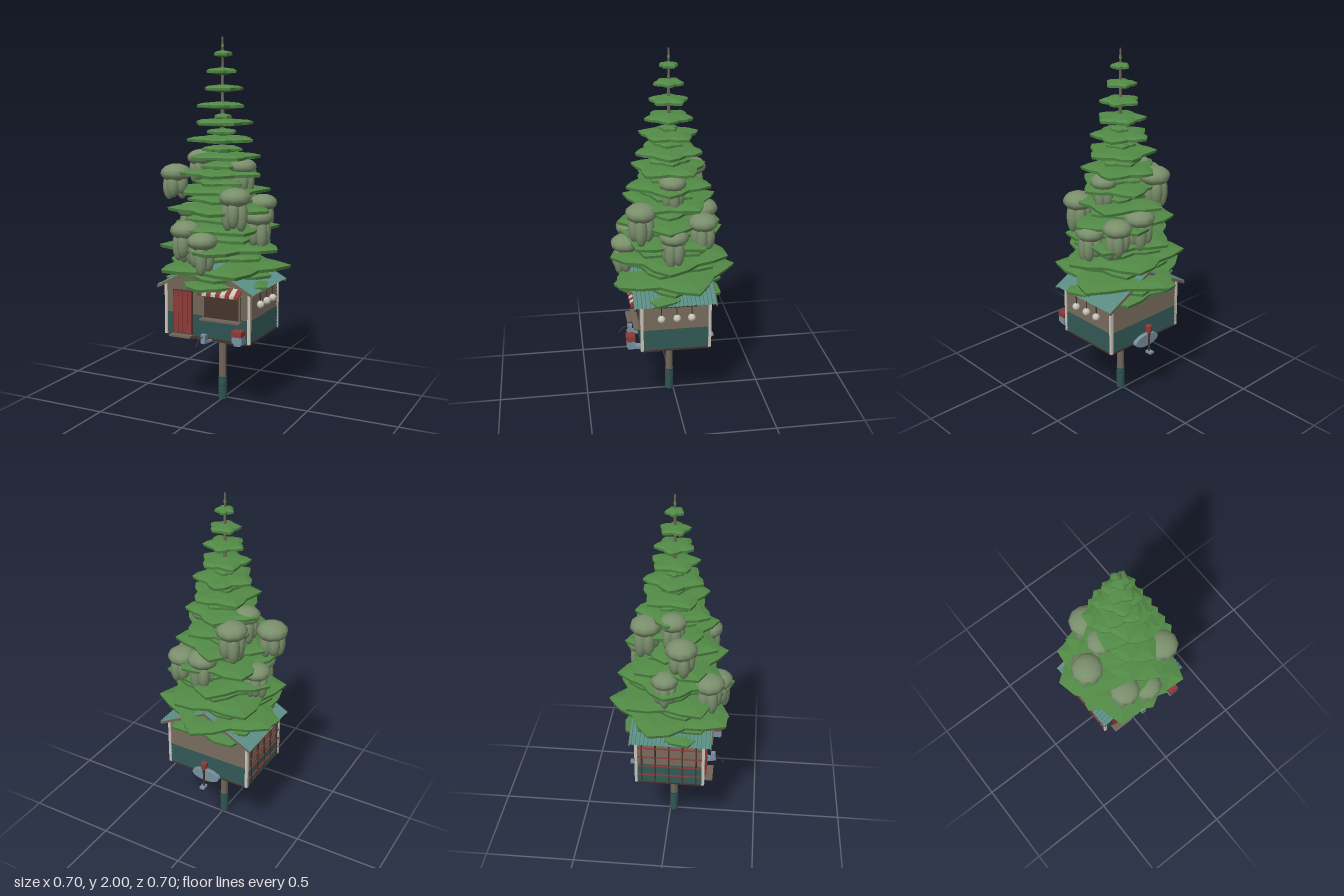
import * as THREE from 'three';

const mat = (name, color, side = THREE.FrontSide, flat = true) =>
  Object.assign(new THREE.MeshStandardMaterial({ color, side, flatShading: flat }), { name });

export function createModel() {
  const root = new THREE.Group();
  root.name = 'treehouse';
  const M = {
    leaf: mat('leaf green', 0x528a46),
    moss: mat('moss grey green', 0x7a8f6c, THREE.FrontSide, false),
    wood: mat('weathered wood', 0x706456),
    teal: mat('dark teal paint', 0x2f5351),
    roof: mat('roof teal', 0x5a8e84, THREE.DoubleSide),
    cream: mat('cream', 0xc8c4b8),
    red: mat('red paint', 0x8e3a36),
    dark: mat('dark brown', 0x46342c),
    metal: mat('blue grey metal', 0x7890a0),
  };
  const add = (name, geo, m, x = 0, y = 0, z = 0, parent = root) => {
    const mesh = new THREE.Mesh(geo, m);
    mesh.name = name;
    mesh.position.set(x, y, z);
    parent.add(mesh);
    return mesh;
  };
  // box given by its limits
  const box = (name, m, x0, x1, y0, y1, z0, z1, parent) =>
    add(name, new THREE.BoxGeometry(x1 - x0, y1 - y0, z1 - z0), m, (x0 + x1) / 2, (y0 + y1) / 2, (z0 + z1) / 2, parent);
  const group = (name) => {
    const g = new THREE.Group();
    g.name = name;
    root.add(g);
    return g;
  };
  let seed = 11;
  const rnd = () => (seed = (seed * 16807) % 2147483647) / 2147483647;
  const TZ = 0.022;

  // Trunk
  add('trunk', new THREE.CylinderGeometry(0.02, 0.022, 0.8, 12), M.wood, 0, 0.4, TZ);
  add('upperTrunk', new THREE.CylinderGeometry(0.005, 0.02, 1.2, 10), M.wood, 0, 1.39, TZ);
  add('trunkBase', new THREE.CylinderGeometry(0.023, 0.024, 0.13, 12), M.teal, 0, 0.065, TZ);
  for (const y of [0.08, 0.105, 0.128])
    add('trunkBand', new THREE.TorusGeometry(0.022, 0.003, 5, 12), M.teal, 0, y, TZ).rotation.x = Math.PI / 2;

  // Foliage: lens-shaped stars of five pointed leaves
  const star = (r, h) => {
    const n = 20, pts = [], idx = [], out = [];
    const prof = [1, 0.86, 0.74, 0.86];
    for (let i = 0; i < n; i++) out.push(prof[i % 4] * r * (0.97 + rnd() * 0.06));
    for (const [s, y] of [[0.8, 0.34], [1, 0.13], [0.98, -0.18]])
      for (let i = 0; i < n; i++) {
        const a = (i / n) * Math.PI * 2;
        pts.push(Math.sin(a) * out[i] * s, y * h, Math.cos(a) * out[i] * s);
      }
    pts.push(0, h * 0.55, 0, 0, -h * 0.5, 0);
    for (let i = 0; i < n; i++) {
      const j = (i + 1) % n;
      idx.push(3 * n, i, j, 3 * n + 1, 2 * n + j, 2 * n + i);
      for (let k = 0; k < 2; k++) {
        const a = k * n + i, b = k * n + j;
        idx.push(a, a + n, b, b, a + n, b + n);
      }
    }
    const g = new THREE.BufferGeometry();
    g.setAttribute('position', new THREE.Float32BufferAttribute(pts, 3));
    g.setIndex(idx);
    const flat = g.toNonIndexed();
    flat.computeVertexNormals();
    return flat;
  };
  const foliage = group('foliage');
  // [height, radius, turn]
  const main = [[0.685, 0.32, 0], [0.768, 0.367, Math.PI], [0.878, 0.34, 1.46], [0.98, 0.305, 2.09], [1.08, 0.29, 2.72], [1.18, 0.26, 3.35],
    [1.27, 0.235, 3.98], [1.36, 0.21, 4.61], [1.45, 0.19, 5.24], [1.54, 0.165, 5.87], [1.63, 0.135, 6.5], [1.72, 0.11, 7.13],
    [1.81, 0.085, 7.76], [1.9, 0.052, 8.39]];
  const inner = [[0.73, 0.29, 0.3], [0.83, 0.27, 0], [0.93, 0.25, 0.9], [1.03, 0.22, 1.8], [1.13, 0.19, 2.7], [1.22, 0.16, 3.6],
    [1.31, 0.135, 4.5], [1.4, 0.115, 5.4], [1.49, 0.085, 6.3], [1.57, 0.05, 7.2]];
  for (const [y, r, turn] of [...main, ...inner])
    add('leafTier', star(r, 0.036 + r * 0.06), M.leaf, 0, y, TZ, foliage).rotation.y = turn;
  add('treeTip', new THREE.ConeGeometry(0.008, 0.06, 6), M.leaf, 0, 1.97, TZ, foliage);

  // Hanging moss clumps (x, y, z, radius, droop): domed cap over long lobes
  const moss = group('mossClumps');
  const clumps = [[-0.255, 1.265, 0.08, 0.085, 1.75], [-0.12, 1.32, -0.115, 0.085, 2.1], [0.03, 1.13, -0.155, 0.085, 2.1],
    [0.17, 1.1, -0.135, 0.08, 2.1], [0.215, 1.045, 0.025, 0.08, 2.2], [0.155, 1.165, 0.19, 0.085, 2.1], [0, 0.935, 0.262, 0.082, 2.2],
    [-0.12, 0.98, 0.22, 0.085, 2.2], [-0.13, 1.35, 0.025, 0.075, 2.1], [-0.215, 1.05, -0.01, 0.075, 2.1], [0.12, 1.31, 0.02, 0.075, 2.1]];
  const capGeo = new THREE.SphereGeometry(1, 10, 8);
  for (const [x, y, z, r, droop] of clumps) {
    add('mossCap', capGeo, M.moss, x, y, z, moss).scale.set(r, r * 0.6, r);
    for (let k = 0; k < 5; k++) {
      const a = k * 1.257 + x * 9, d = r * 0.45;
      const end = r * droop * (0.88 + 0.12 * Math.sin(k * 2.1)), len = end / 2;
      add('mossLobe', capGeo, M.moss, x + Math.cos(a) * d, y - end + len, z + Math.sin(a) * d, moss).scale.set(r * 0.4, len, r * 0.4);
    }
  }

  // Cabin shell
  const L = -0.25, R = 0.245, F = 0.204, B = -0.167;
  const cabin = group('cabin');
  const gable = new THREE.Shape([[L, 0.4], [R, 0.4], [R, 0.685], [0, 0.81], [L, 0.685]].map((p) => new THREE.Vector2(...p)));
  add('walls', new THREE.ExtrudeGeometry(gable, { depth: F - B, bevelEnabled: false }), M.wood, 0, 0, B, cabin);
  box('lowerWalls', M.teal, L - 0.002, R + 0.002, 0.4, 0.52, B - 0.002, F + 0.002, cabin);
  box('floor', M.dark, L, R, 0.385, 0.4, B, F, cabin);

  // Lapped boards, wedge-shaped so only the lower lip stands out
  const wedge = new THREE.Shape([[0, 0], [0.004, 0], [0, 0.02]].map((p) => new THREE.Vector2(...p)));
  const board = (len) => new THREE.ExtrudeGeometry(wedge, { depth: len, bevelEnabled: false });
  for (let i = 0; i < 14; i++) {
    const y = 0.4 + i * 0.02, low = i < 6, m = low ? M.teal : M.wood, o = low ? 0.002 : 0;
    add('sideBoard', board(F - B), m, R + o, y, B, cabin);
    add('sideBoard', board(F - B), m, L - o, y, F, cabin).rotation.y = Math.PI;
    add('backBoard', board(R - L), m, L, y, B - o, cabin).rotation.y = Math.PI / 2;
  }
  for (const x of [L, R]) for (const z of [B, F])
    box('cornerTrim', M.cream, x - 0.008, x + 0.008, 0.395, 0.68, z - 0.008, z + 0.008, cabin);

  // Corrugated roof, ribs running down each slope
  const slopeA = Math.atan2(0.15, 0.285), slopeL = Math.hypot(0.15, 0.285);
  for (const s of [-1, 1]) {
    const g = new THREE.PlaneGeometry(slopeL, 0.445, 1, 80);
    g.rotateX(-Math.PI / 2);
    const p = g.attributes.position;
    for (let i = 0; i < p.count; i++) p.setY(i, [0, 0.006, 0.006, 0][(i >> 1) % 4]);
    g.computeVertexNormals();
    add('roofSheet', g, M.roof, s * 0.1425, 0.745, 0.0225, cabin).rotation.z = -s * slopeA;
    for (const z of [-0.198, 0.243])
      add('bargeBoard', new THREE.BoxGeometry(slopeL, 0.014, 0.008), M.wood, s * 0.1425, 0.737, z, cabin).rotation.z = -s * slopeA;
  }

  // Door with step
  box('doorFrame', M.dark, -0.206, -0.088, 0.405, 0.648, F, F + 0.006);
  for (const x of [-0.2, -0.146]) {
    box('doorLeaf', M.red, x, x + 0.051, 0.41, 0.642, F, F + 0.011);
    box('doorBatten', M.red, x + 0.02, x + 0.03, 0.41, 0.642, F, F + 0.015);
  }
  box('step', M.wood, -0.21, -0.085, 0.395, 0.405, F, F + 0.05);

  // Serving window, ledge and striped awning
  box('windowPane', M.dark, -0.015, 0.19, 0.515, 0.64, F, F + 0.006);
  for (const [x0, x1, y0, y1] of [[-0.022, -0.014, 0.508, 0.648], [0.189, 0.197, 0.508, 0.648], [-0.022, 0.197, 0.64, 0.648]])
    box('windowFrame', M.wood, x0, x1, y0, y1, F, F + 0.012);
  box('windowLedge', M.wood, -0.03, 0.205, 0.503, 0.512, F, F + 0.04);
  for (let i = 0; i < 9; i++) {
    const m = i % 2 ? M.cream : M.red, x = -0.035 + i * 0.027;
    box('awningStripe', m, x, x + 0.027, 0.668, 0.674, F, F + 0.058).rotation.x = 0.55;
    box('awningFringe', m, x, x + 0.027, 0.643, 0.658, F + 0.05, F + 0.055);
  }

  // Letter box on a bracket at the front corner
  box('boxBody', M.red, 0.18, 0.238, 0.45, 0.48, 0.24, 0.288);
  box('boxBase', M.metal, 0.18, 0.238, 0.415, 0.448, 0.24, 0.285);
  box('boxBracket', M.metal, 0.19, 0.228, 0.4, 0.415, F, 0.28);

  // Lanterns along the side
  box('lanternRail', M.dark, R, R + 0.012, 0.652, 0.66, -0.1, 0.14);
  for (const z of [0.1, 0.015, -0.065]) {
    add('lanternCord', new THREE.CylinderGeometry(0.003, 0.003, 0.05, 6), M.dark, R + 0.016, 0.632, z);
    add('lantern', new THREE.SphereGeometry(0.021, 12, 8), M.cream, R + 0.018, 0.59, z);
  }

  // Trellis on the opposite side
  const trellis = group('trellis');
  for (let i = 0; i < 5; i++) {
    const z = -0.135 + i * 0.075;
    box('trellisUpright', M.dark, L - 0.013, L - 0.004, 0.41, 0.665, z - 0.004, z + 0.004, trellis);
  }
  for (const y of [0.45, 0.51, 0.57, 0.63])
    box('trellisRail', M.red, L - 0.014, L - 0.007, y, y + 0.005, B + 0.01, F - 0.01, trellis);

  // Tank and joists below the floor
  const tank = add('tank', new THREE.CylinderGeometry(0.085, 0.085, 0.27, 20), M.metal, 0, 0.398, -0.06);
  tank.rotation.x = Math.PI / 2;
  tank.scale.z = 0.42;
  for (const z of [-0.06, 0.06, 0.15]) box('joist', M.dark, -0.14, 0.14, 0.37, 0.386, z, z + 0.018);
  for (const x of [-0.14, 0.12]) box('beam', M.dark, x, x + 0.02, 0.372, 0.386, -0.1, 0.18);

  // Drawbar at the front with a loose cable
  for (const s of [-1, 1])
    add('drawbar', new THREE.BoxGeometry(0.012, 0.014, 0.13), M.metal, s * 0.02, 0.388, 0.2).rotation.y = -s * 0.25;
  box('hitch', M.metal, -0.014, 0.014, 0.385, 0.43, 0.235, 0.26);
  const cable = new THREE.CatmullRomCurve3([[0, 0.42, 0.25], [-0.01, 0.41, 0.28], [-0.015, 0.375, 0.31]].map((p) => new THREE.Vector3(...p)));
  add('cable', new THREE.TubeGeometry(cable, 8, 0.003, 5), M.dark);

  // Valve with a down pipe at the back
  add('valve', new THREE.CylinderGeometry(0.018, 0.018, 0.036, 10), M.red, 0, 0.475, -0.205);
  add('valvePipe', new THREE.CylinderGeometry(0.006, 0.006, 0.13, 8), M.dark, 0, 0.395, -0.21);
  box('pipeFoot', M.metal, -0.014, 0.014, 0.325, 0.338, -0.235, -0.195);
  box('valveArm', M.dark, -0.005, 0.005, 0.455, 0.465, -0.2, B);
  return root;
}
